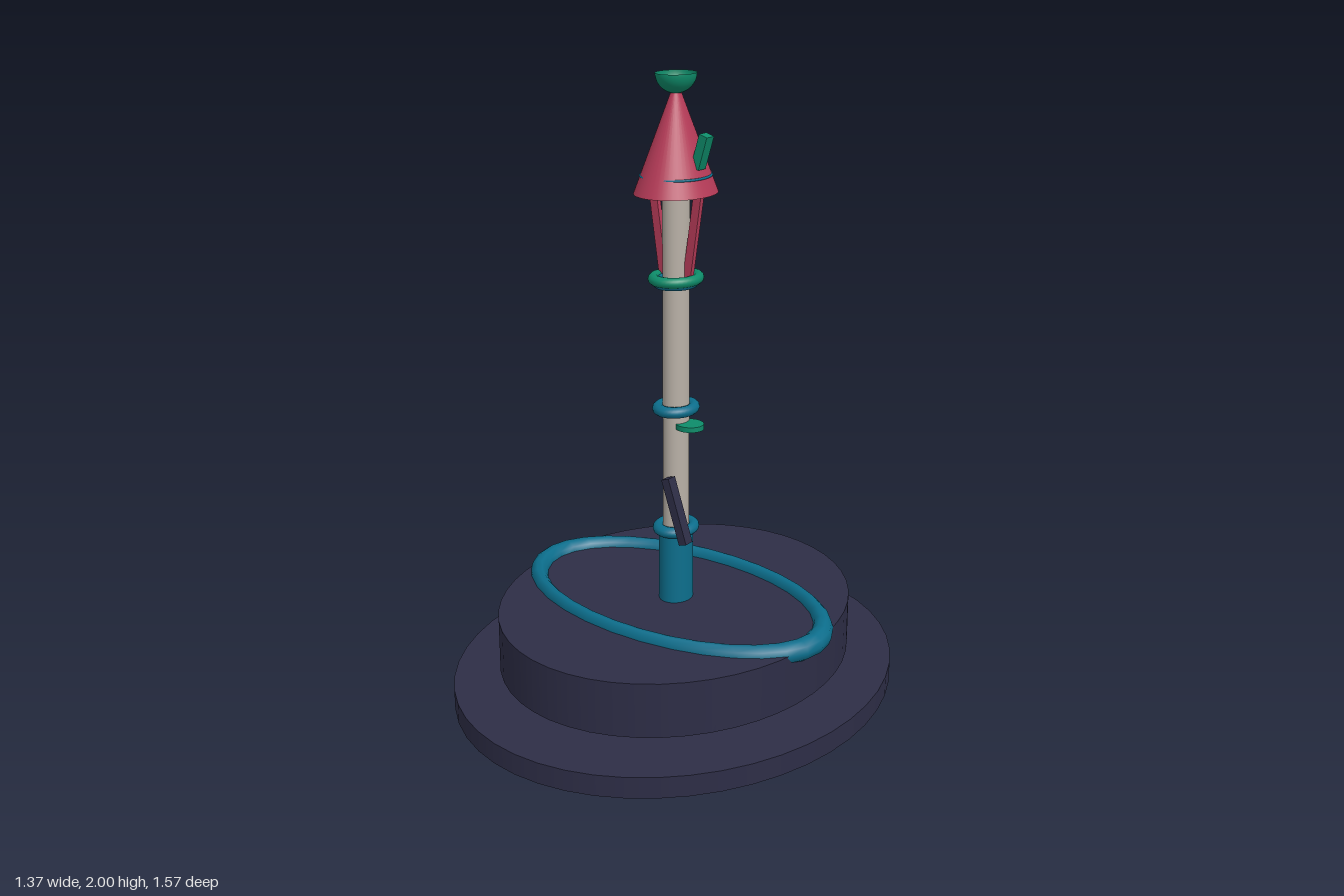
import * as THREE from 'three';

const mat = (name, color) => {
  const m = new THREE.MeshStandardMaterial({ color });
  m.name = name;
  return m;
};

export function createModel() {
  const navy = mat('navy', 0x2d2d46);
  const blue = mat('blue', 0x0c6e8c);
  const red = mat('red', 0xb63b58);
  const green = mat('green', 0x0e8c6a);
  const stone = mat('stone', 0xb8b0a6);
  const greenBowl = mat('greenBowl', 0x0e8c6a);
  greenBowl.side = THREE.DoubleSide;

  const model = new THREE.Group();
  model.name = 'fountainTower';
  const add = (name, geometry, material, x = 0, y = 0, z = 0) => {
    const mesh = new THREE.Mesh(geometry, material);
    mesh.name = name;
    mesh.position.set(x, y, z);
    model.add(mesh);
    return mesh;
  };

  // Upright oval cylinder or cone between two heights
  const drum = (name, material, rx, rz, y0, y1, x = 0, top = 1) => {
    const g = new THREE.CylinderGeometry(top, 1, y1 - y0, 48);
    g.scale(rx, 1, rz);
    return add(name, g, material, x, (y0 + y1) / 2, 0);
  };
  // Lying oval ring; rx and rz are its outer radii
  const ring = (name, material, rx, rz, tube, y, sides = 12, steps = 40) => {
    const g = new THREE.TorusGeometry(rx - tube, tube, sides, steps);
    g.rotateX(Math.PI / 2).scale(1, 1, rz / rx);
    return add(name, g, material, 0, y, 0);
  };

  // Stepped base and oval rail
  drum('baseDisc', navy, 0.685, 0.787, 0, 0.07);
  drum('upperBase', navy, 0.545, 0.627, 0.11, 0.29);
  ring('ovalRail', blue, 0.577, 0.334, 0.036, 0.285, 10, 32);

  // Column with its sleeve and collars
  drum('sleeve', blue, 0.053, 0.06, 0.105, 0.54);
  drum('column', stone, 0.04, 0.046, 0.5, 1.68);
  for (const y of [0.54, 0.95, 1.363]) ring('collar', blue, 0.072, 0.082, 0.018, y);
  ring('upperCollar', green, 0.083, 0.095, 0.017, 1.373);

  // Leaning lever and small ledge on the column
  const lever = add('lever', new THREE.BoxGeometry(0.03, 0.22, 0.034), navy, 0.058, 0.63, 0.07);
  lever.rotation.z = 0.33;
  drum('ledge', green, 0.046, 0.043, 0.89, 0.907, 0.055);

  // Roof struts, mirrored
  for (const s of [-1, 1]) {
    const strut = add('roofStrut', new THREE.BoxGeometry(0.029, 0.3, 0.016), red, s * 0.068, 1.52, 0);
    strut.rotation.z = -s * 0.15;
  }

  // Conical roof with a fine band and a chimney
  drum('roof', red, 0.122, 0.142, 1.64, 1.985, 0, 0);
  ring('roofBand', blue, 0.108, 0.119, 0.004, 1.694, 8, 48);
  const chimney = add('chimney', new THREE.BoxGeometry(0.03, 0.105, 0.036), green, 0.099, 1.774, 0);
  chimney.rotation.z = -0.3;

  // Open bowl at the tip
  const bowl = new THREE.SphereGeometry(1, 32, 12, 0, Math.PI * 2, Math.PI / 2, Math.PI / 2);
  bowl.scale(0.06, 0.062, 0.069);
  add('finialBowl', bowl, greenBowl, 0, 2, 0);

  return model;
}
